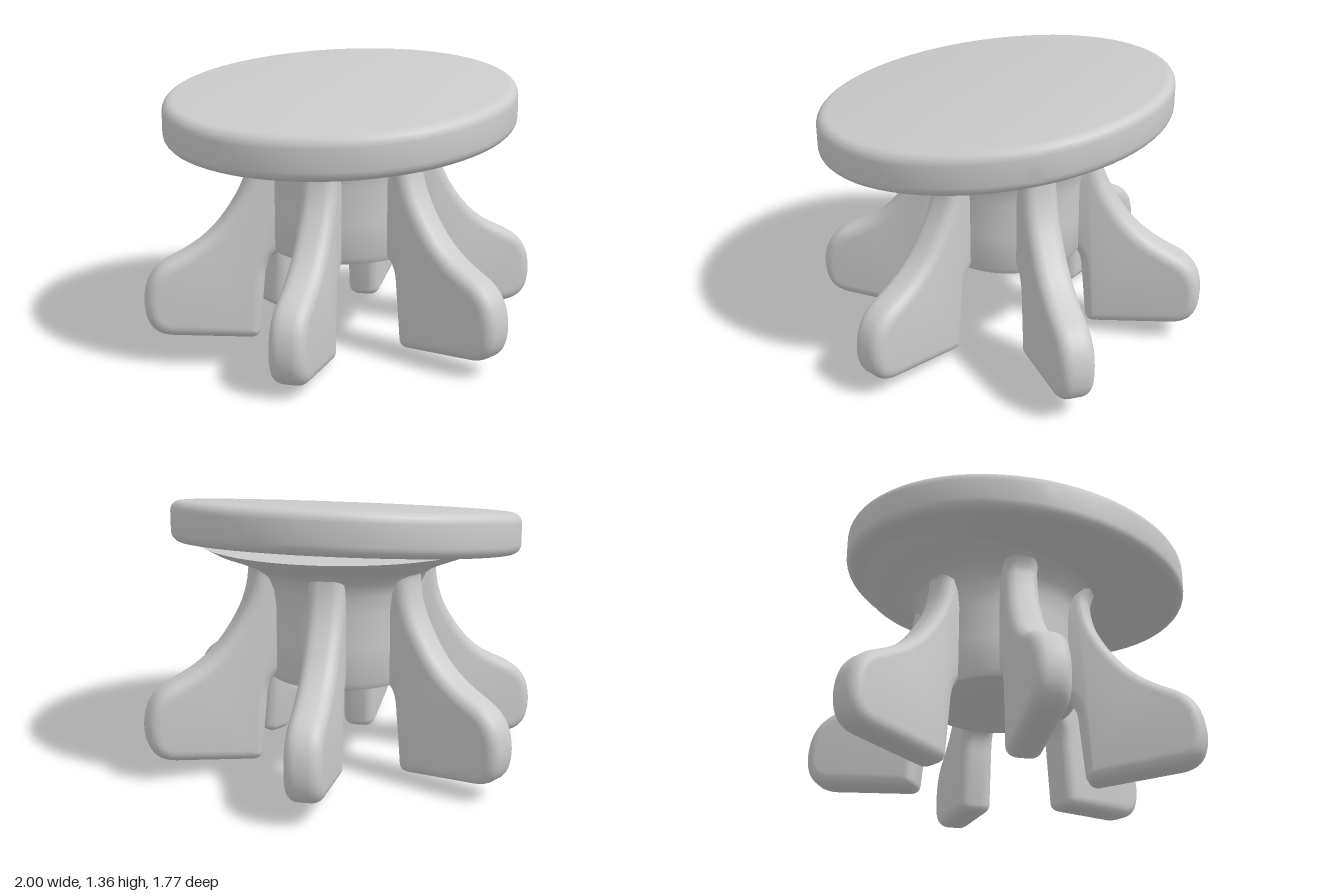
import * as THREE from 'three';
import { mergeVertices, toCreasedNormals } from 'three/addons/utils/BufferGeometryUtils.js';

const material = new THREE.MeshStandardMaterial({ color: 0xcccccc });

// Closed profile of one leg: x is the distance from the stool axis
function legGeometry() {
  const s = new THREE.Shape();
  s.moveTo(0.2, 1.08);
  s.lineTo(0.2, 0.46);
  s.lineTo(0.3, 0.46);
  s.bezierCurveTo(0.38, 0.45, 0.4, 0.4, 0.405, 0.32);
  s.lineTo(0.43, 0.06);
  s.quadraticCurveTo(0.435, 0.02, 0.48, 0.02);
  s.lineTo(0.86, 0.06);
  s.bezierCurveTo(0.96, 0.07, 0.995, 0.13, 0.995, 0.23);
  s.bezierCurveTo(0.99, 0.35, 0.94, 0.41, 0.85, 0.45);
  s.bezierCurveTo(0.67, 0.53, 0.61, 0.62, 0.55, 0.71);
  s.bezierCurveTo(0.48, 0.82, 0.47, 0.9, 0.465, 0.96);
  s.quadraticCurveTo(0.47, 1.02, 0.53, 1.08);
  s.closePath();
  const thickness = 0.17, bevel = 0.055;
  const g = new THREE.ExtrudeGeometry(s, {
    depth: thickness - 2 * bevel, curveSegments: 10,
    bevelEnabled: true, bevelSize: bevel, bevelThickness: bevel,
    bevelOffset: -bevel, bevelSegments: 5,
  });
  g.translate(0, 0, -(thickness - 2 * bevel) / 2);
  g.deleteAttribute('uv');
  g.deleteAttribute('normal');
  return toCreasedNormals(mergeVertices(g, 1e-4), 0.8);
}

const lathe = (points, segments) =>
  new THREE.LatheGeometry(points.map(([x, y]) => new THREE.Vector2(x, y)), segments);

// Round seat with softened rims; heights are sheared so the rim stays upright
function seatGeometry() {
  const R = 0.85, h = 0.1, r = 0.05;
  const profile = [[0, -h]];
  for (const side of [-1, 1]) {
    for (let i = 0; i <= 5; i++) {
      const a = ((side < 0 ? i - 5 : i) / 5) * Math.PI / 2;
      profile.push([R - r + r * Math.cos(a), side * (h - r) + r * Math.sin(a)]);
    }
  }
  profile.push([0, h]);
  const g = lathe(profile, 72);
  const p = g.attributes.position;
  for (let i = 0; i < p.count; i++) {
    p.setY(i, p.getY(i) + 0.075 * p.getX(i) - 0.1 * p.getZ(i));
  }
  return toCreasedNormals(g, 0.6);
}

export function createModel() {
  const group = new THREE.Group();
  const add = (name, geometry, parent = group) => {
    const mesh = new THREE.Mesh(geometry, material);
    mesh.name = name;
    parent.add(mesh);
    return mesh;
  };

  add('seat', seatGeometry()).position.set(-0.04, 1.157, 0.03);

  const base = new THREE.Group();
  base.name = 'base';
  base.position.z = -0.03;
  group.add(base);

  // Solid hub joining the legs, flaring wide into the underside of the seat
  add('hub', toCreasedNormals(lathe([
    [0, 0.44], [0.33, 0.44], [0.36, 0.45], [0.375, 0.48], [0.375, 0.65],
    [0.375, 0.82], [0.385, 0.9], [0.41, 0.96], [0.46, 1.0], [0.54, 1.035],
    [0.63, 1.07], [0.7, 1.11], [0, 1.11],
  ], 48), 0.6), base);

  // Radial legs: angle in degrees from +x towards +z, lift, shift along the radius
  const legs = [
    ['leftLeg', -0.6, 0.03, 0], ['frontLeftLeg', 60, 0.01, -0.01],
    ['frontRightLeg', 121, -0.02, -0.01], ['rightLeg', 183, -0.01, 0.005],
    ['backRightLeg', 240, 0.01, -0.025], ['backLeftLeg', 300, 0.03, -0.025],
  ];
  const geometry = legGeometry();
  for (const [name, degrees, lift, shift] of legs) {
    const a = THREE.MathUtils.degToRad(degrees);
    const leg = add(name, geometry, base);
    leg.rotation.y = -a;
    leg.position.set(shift * Math.cos(a), lift, shift * Math.sin(a));
  }
  return group;
}
